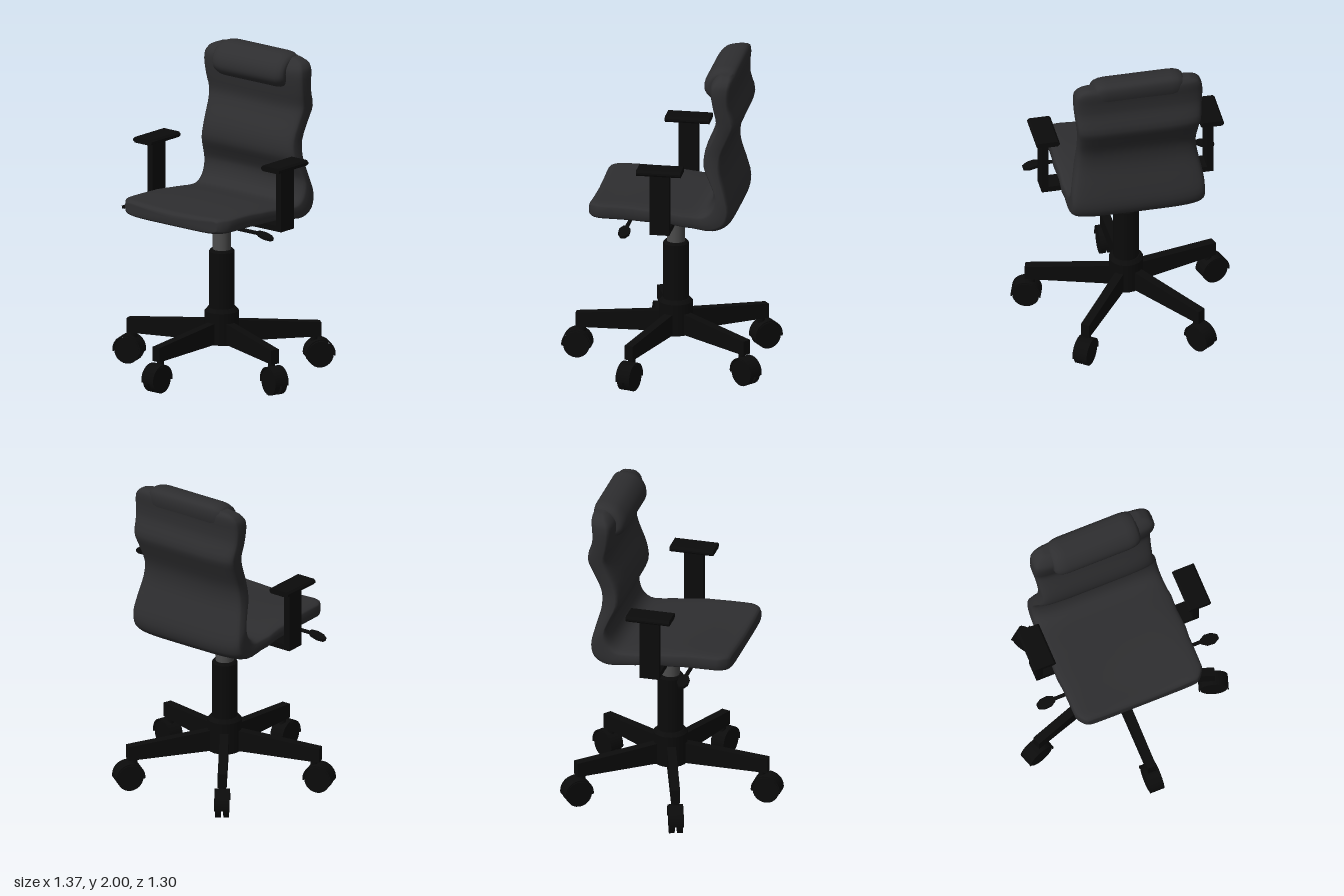
import * as THREE from 'three';

const fabric = new THREE.MeshStandardMaterial({ color: 0x2e2e30 });
const plastic = new THREE.MeshStandardMaterial({ color: 0x0b0b0b });
const steel = new THREE.MeshStandardMaterial({ color: 0x4c4c4c });
const AXIS_Z = -0.05; // the column and star base sit slightly behind the middle

function add(parent, name, geometry, material, x = 0, y = 0, z = 0) {
  const mesh = new THREE.Mesh(geometry, material);
  mesh.name = name;
  mesh.position.set(x, y, z);
  parent.add(mesh);
  return mesh;
}

// Skin over closed rings of points, capped at both ends
function loft(rings) {
  const n = rings[0].length, pos = [], idx = [];
  rings.forEach(r => r.forEach(p => pos.push(p.x, p.y, p.z)));
  for (let i = 0; i < rings.length - 1; i++) {
    for (let j = 0; j < n; j++) {
      const a = i * n + j, b = i * n + (j + 1) % n;
      idx.push(a, a + n, b + n, a, b + n, b);
    }
  }
  [0, rings.length - 1].forEach(i => {
    const c = new THREE.Vector3();
    rings[i].forEach(p => c.addScaledVector(p, 1 / n));
    const ci = pos.length / 3;
    pos.push(c.x, c.y, c.z);
    for (let j = 0; j < n; j++) {
      const a = i * n + j, b = i * n + (j + 1) % n;
      if (i === 0) idx.push(ci, a, b); else idx.push(ci, b, a);
    }
  });
  const g = new THREE.BufferGeometry();
  g.setAttribute('position', new THREE.Float32BufferAttribute(pos, 3));
  g.setIndex(idx);
  g.computeVertexNormals();
  return g;
}

// Seat and backrest: one padded shell swept from the front edge to the top.
// Each row: inner z, inner y, outer z, outer y, half width
function seatShell() {
  const rows = [
    [0.427, 1.12, 0.427, 1.035, 0.36], [0.41, 1.138, 0.41, 1.022, 0.385],
    [0.35, 1.142, 0.35, 1.02, 0.42], [0.15, 1.138, 0.15, 1.018, 0.422],
    [-0.05, 1.118, -0.05, 1.01, 0.422], [-0.2, 1.1, -0.22, 0.99, 0.422],
    [-0.27, 1.105, -0.36, 0.975, 0.42], [-0.315, 1.145, -0.44, 1.015, 0.418],
    [-0.338, 1.23, -0.463, 1.09, 0.415], [-0.31, 1.3, -0.44, 1.21, 0.4],
    [-0.27, 1.38, -0.405, 1.35, 0.38], [-0.277, 1.48, -0.41, 1.46, 0.368],
    [-0.325, 1.6, -0.46, 1.58, 0.375], [-0.345, 1.67, -0.494, 1.67, 0.385],
    [-0.33, 1.76, -0.463, 1.78, 0.395], [-0.315, 1.86, -0.462, 1.86, 0.4],
    [-0.318, 1.91, -0.468, 1.915, 0.395], [-0.345, 1.95, -0.466, 1.95, 0.37],
    [-0.38, 1.975, -0.45, 1.975, 0.31],
  ];
  const curve = f => new THREE.CatmullRomCurve3(rows.map(f));
  const inner = curve(r => new THREE.Vector3(0, r[1], r[0]));
  const outer = curve(r => new THREE.Vector3(0, r[3], r[2]));
  const width = curve(r => new THREE.Vector3(r[4], 0, 0));
  const squash = v => Math.sign(v) * Math.pow(Math.abs(v), 0.42);
  const rings = [], steps = (rows.length - 1) * 3, sides = 36;
  for (let i = 0; i <= steps; i++) {
    const t = i / steps;
    const a = inner.getPoint(t), b = outer.getPoint(t), w = width.getPoint(t).x;
    const sag = 0.03 * THREE.MathUtils.clamp((a.z + 0.1) / 0.4, 0, 1);
    const ring = [];
    for (let j = 0; j < sides; j++) {
      const ang = j / sides * Math.PI * 2;
      const u = squash(Math.cos(ang)), k = (squash(Math.sin(ang)) + 1) / 2;
      const p = b.clone().lerp(a, k);
      p.x = u * w;
      p.y -= sag * k * (1 - u * u); // shallow dish in the cushion
      ring.push(p);
    }
    rings.push(ring);
  }
  return loft(rings);
}

// Pillow wrapped over the top of the backrest
function headrest() {
  const profile = new THREE.CatmullRomCurve3([
    [-0.268, 1.84], [-0.27, 1.91], [-0.325, 1.98], [-0.4, 2.0],
    [-0.462, 1.985], [-0.472, 1.92], [-0.43, 1.82], [-0.33, 1.787],
  ].map(([z, y]) => new THREE.Vector3(0, y, z)), true).getPoints(32).slice(0, -1);
  const half = [[0.285, 0.6], [0.28, 0.75], [0.265, 0.88], [0.235, 0.97], [0.2, 1]];
  const stations = [...half.map(([x, s]) => [-x, s]), ...half.slice().reverse()];
  return loft(stations.map(([x, s]) => profile.map(p =>
    new THREE.Vector3(x, 1.89 + (p.y - 1.89) * s, -0.375 + (p.z + 0.375) * s))));
}

function extrude(shape, depth) {
  return new THREE.ExtrudeGeometry(shape, { depth, bevelEnabled: false, curveSegments: 20 })
    .translate(0, 0, -depth / 2);
}

// One spoke of the base with its twin-wheel caster, pointing along +x
function spoke() {
  const g = new THREE.Group();
  g.name = 'baseLeg';
  const side = new THREE.Shape([[0, 0.2], [0.62, 0.195], [0.62, 0.285], [0.06, 0.335], [0, 0.335]]
    .map(p => new THREE.Vector2(...p)));
  add(g, 'legBeam', extrude(side, 0.055), plastic);
  add(g, 'casterStem', new THREE.CylinderGeometry(0.022, 0.022, 0.06, 12), plastic, 0.58, 0.18);
  const hood = new THREE.Shape();
  hood.absarc(0, 0, 0.092, -0.15, Math.PI + 0.15, false);
  hood.absarc(0, 0, 0.084, Math.PI + 0.15, -0.15, true);
  add(g, 'casterHood', extrude(hood, 0.094), plastic, 0.612, 0.087);
  for (const s of [-1, 1]) {
    const wheel = new THREE.CylinderGeometry(0.082, 0.082, 0.034, 24).rotateX(Math.PI / 2);
    add(g, 'casterWheel', wheel, plastic, 0.612, 0.083, s * 0.025);
  }
  add(g, 'casterAxle', new THREE.CylinderGeometry(0.06, 0.06, 0.03, 16).rotateX(Math.PI / 2),
    plastic, 0.612, 0.1);
  return g;
}

// Armrest and height lever of one side (s = 1 is the model's left)
function sideParts(s) {
  const g = new THREE.Group();
  g.name = s > 0 ? 'leftArm' : 'rightArm';
  add(g, 'armUpright', new THREE.BoxGeometry(0.042, 0.4, 0.122), plastic, s * 0.516, 1.195, -0.04);
  const corner = 0.012, w = 0.0725, h = 0.0175;
  const pad = new THREE.Shape([[-w + corner, -h], [w - corner, -h], [w, -h + corner], [w, h - corner],
    [w - corner, h], [-w + corner, h], [-w, h - corner], [-w, -h + corner]]
    .map(p => new THREE.Vector2(...p)));
  add(g, 'armPad', extrude(pad, 0.275), plastic, s * 0.513, 1.402, -0.04);
  add(g, 'leverRod', new THREE.CylinderGeometry(0.012, 0.012, 0.3, 10).rotateZ(Math.PI / 2),
    plastic, s * 0.35, 1.012, 0.175);
  const paddle = new THREE.CylinderGeometry(0.06, 0.06, 0.018, 8)
    .rotateY(Math.PI / 8).scale(1.05, 1, 0.62);
  add(g, 'leverPaddle', paddle, plastic, s * 0.54, 1.005, 0.177).rotation.z = -s * 0.25;
  return g;
}

export function createModel() {
  const model = new THREE.Group();
  model.name = 'officeChair';

  add(model, 'seatAndBack', seatShell(), fabric);
  add(model, 'headrest', headrest(), fabric);

  // Star base
  const base = new THREE.Group();
  base.name = 'base';
  base.position.z = AXIS_Z;
  for (let i = 0; i < 5; i++) {
    const leg = spoke();
    leg.rotation.y = i * Math.PI * 2 / 5 - Math.PI / 2;
    base.add(leg);
  }
  model.add(base);

  // Column
  add(base, 'hub', new THREE.CylinderGeometry(0.105, 0.105, 0.2, 20), plastic, 0, 0.295);
  add(base, 'hubShoulder', new THREE.CylinderGeometry(0.085, 0.105, 0.022, 20), plastic, 0, 0.406);
  add(base, 'columnSleeve', new THREE.CylinderGeometry(0.079, 0.079, 0.37, 20), plastic, 0, 0.585);
  add(base, 'columnRim', new THREE.CylinderGeometry(0.07, 0.079, 0.013, 20), plastic, 0, 0.776);
  add(base, 'gasLift', new THREE.CylinderGeometry(0.056, 0.056, 0.26, 20), steel, 0, 0.89);

  // Bar under the seat carrying both armrests
  add(model, 'armCrossbar', new THREE.BoxGeometry(1.07, 0.036, 0.122), plastic, 0, 1.012, -0.04);
  for (const s of [-1, 1]) model.add(sideParts(s));
  return model;
}
